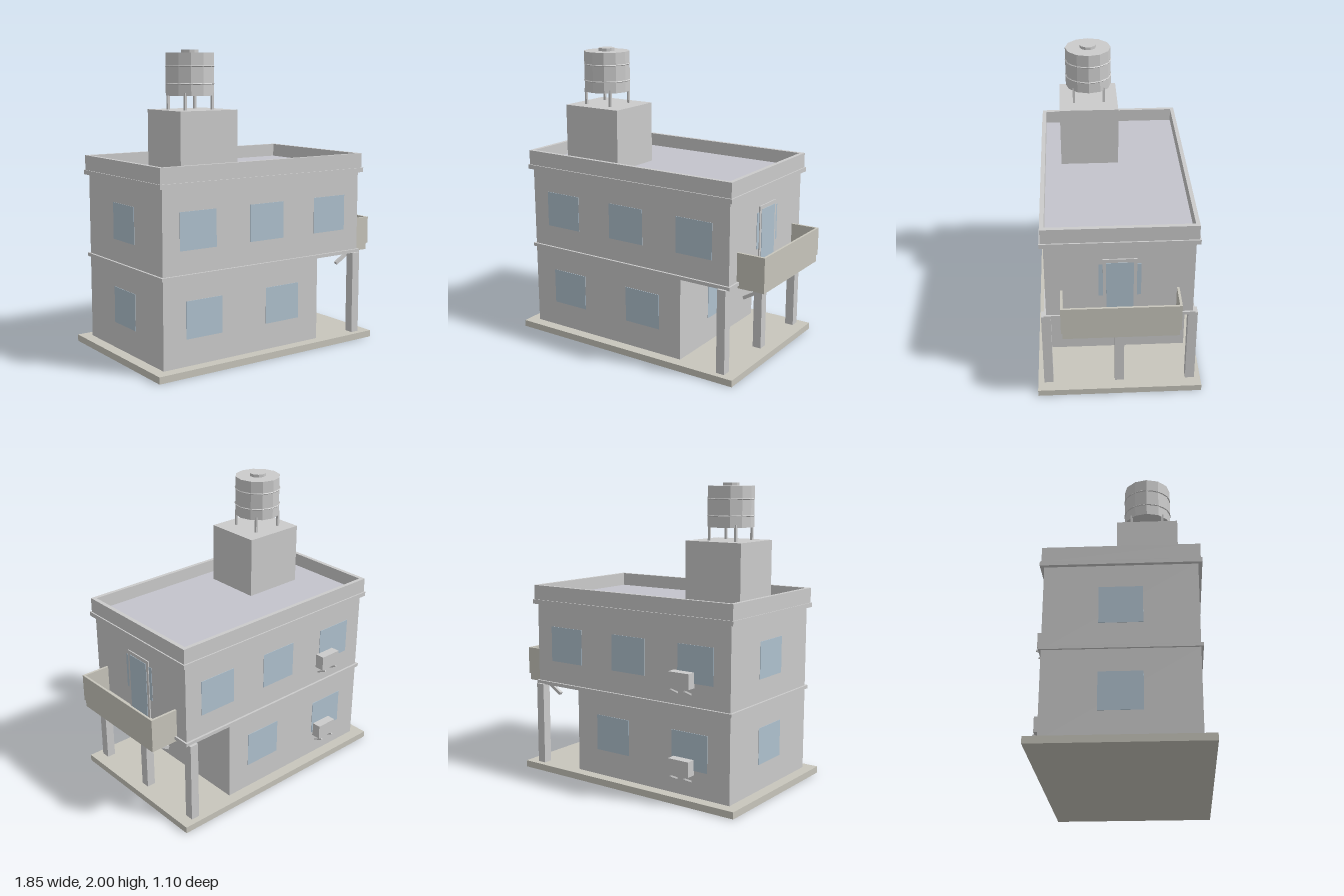
import * as THREE from 'three';

const material = (color) => new THREE.MeshStandardMaterial({ color, flatShading: true });

export function createModel() {
  const house = new THREE.Group();
  house.name = 'house';
  const grey = material(0xcccccc);
  const concrete = material(0xc8c6bc);
  const glass = material(0xb0c2cf);
  const roofing = material(0xc4c4cc);

  const add = (name, geometry, mat, x, y, z) => {
    const mesh = new THREE.Mesh(geometry, mat);
    mesh.name = name;
    mesh.position.set(x, y, z);
    house.add(mesh);
    return mesh;
  };
  // Box given by its limits on each axis
  const box = (name, x0, x1, y0, y1, z0, z1, mat = grey) =>
    add(name, new THREE.BoxGeometry(x1 - x0, y1 - y0, z1 - z0), mat,
      (x0 + x1) / 2, (y0 + y1) / 2, (z0 + z1) / 2);
  // Square bar between two points
  const bar = (name, a, b, width, mat = grey) => {
    const from = new THREE.Vector3(...a), to = new THREE.Vector3(...b);
    const mid = from.clone().add(to).multiplyScalar(0.5);
    const mesh = add(name, new THREE.BoxGeometry(width, width, from.distanceTo(to)), mat, mid.x, mid.y, mid.z);
    mesh.lookAt(to);
    return mesh;
  };

  // Base and storeys
  box('base', -0.925, 0.805, 0, 0.045, -0.55, 0.55, concrete);
  box('groundFloor', -0.85, 0.37, 0.045, 0.61, -0.475, 0.475);
  box('upperFloor', -0.85, 0.73, 0.61, 1.18, -0.475, 0.475);
  box('floorBand', -0.865, 0.742, 0.607, 0.63, -0.49, 0.49);
  box('cornice', -0.877, 0.757, 1.17, 1.2, -0.5, 0.5);

  // Porch columns
  for (const z of [-0.478, 0, 0.478]) box('porchColumn', 0.665, 0.725, 0.045, 0.61, z - 0.031, z + 0.031);

  // Flat roof and parapet
  box('roof', -0.845, 0.725, 1.19, 1.21, -0.47, 0.47, roofing);
  for (const s of [-1, 1]) {
    const z = s * 0.478;
    box('parapetLong', -0.87, 0.748, 1.2, 1.3, z - 0.013, z + 0.013);
  }
  for (const x of [-0.856, 0.734]) box('parapetShort', x - 0.014, x + 0.014, 1.2, 1.3, -0.466, 0.466);

  // Windows on front and back
  for (const s of [-1, 1]) {
    const windowAt = (x, y) => add('window', new THREE.BoxGeometry(0.27, 0.242, 0.006), glass, x, y, s * 0.475);
    for (const x of [-0.592, -0.062, 0.47]) windowAt(x, 0.9);
    for (const x of [-0.55, 0.068]) windowAt(x, 0.34);
  }
  // Windows on the sides
  for (const [x, y] of [[-0.85, 0.9], [-0.85, 0.34], [0.37, 0.34], [0.73, 0.9]])
    add('sideWindow', new THREE.BoxGeometry(0.006, 0.242, 0.27), glass, x, y, 0);

  // Balcony door with frame
  box('doorFrame', 0.725, 0.738, 0.63, 1.06, -0.108, 0.108);
  box('balconyDoor', 0.73, 0.741, 0.63, 1.035, -0.087, 0.087, glass);

  // Balcony with solid railing and struts
  box('balconySlab', 0.73, 0.92, 0.588, 0.64, -0.37, 0.37, concrete);
  box('balconyFront', 0.91, 0.925, 0.635, 0.825, -0.38, 0.38, concrete);
  for (const s of [-1, 1]) {
    box('balconySide', 0.73, 0.91, 0.635, 0.825, s * 0.372 - 0.008, s * 0.372 + 0.008, concrete);
    bar('balconyStrut', [0.722, 0.49, s * 0.27], [0.89, 0.59, s * 0.27], 0.022);
  }

  // Air conditioners on the back wall
  for (const y of [0.19, 0.75]) {
    box('airConditioner', -0.585, -0.43, y, y + 0.1, -0.54, -0.47);
    for (const x of [-0.56, -0.455]) bar('airConditionerStrut', [x, y - 0.045, -0.473], [x, y - 0.01, -0.546], 0.011);
  }

  // Stair house with water tank
  box('stairHouse', -0.64, -0.21, 1.2, 1.62, -0.04, 0.355);
  const tx = -0.44, tz = 0.155;
  for (const sx of [-1, 1]) for (const sz of [-1, 1])
    add('tankLeg', new THREE.BoxGeometry(0.016, 0.11, 0.016), grey, tx + sx * 0.102, 1.675, tz + sz * 0.102);
  add('waterTank', new THREE.CylinderGeometry(0.155, 0.155, 0.27, 12), grey, tx, 1.845, tz);
  add('tankLid', new THREE.CylinderGeometry(0.056, 0.056, 0.025, 10), grey, tx, 1.9875, tz);
  for (const y of [1.785, 1.895]) {
    const ring = add('tankRing', new THREE.TorusGeometry(0.153, 0.005, 4, 24), grey, tx, y, tz);
    ring.rotation.x = Math.PI / 2;
  }
  return house;
}
